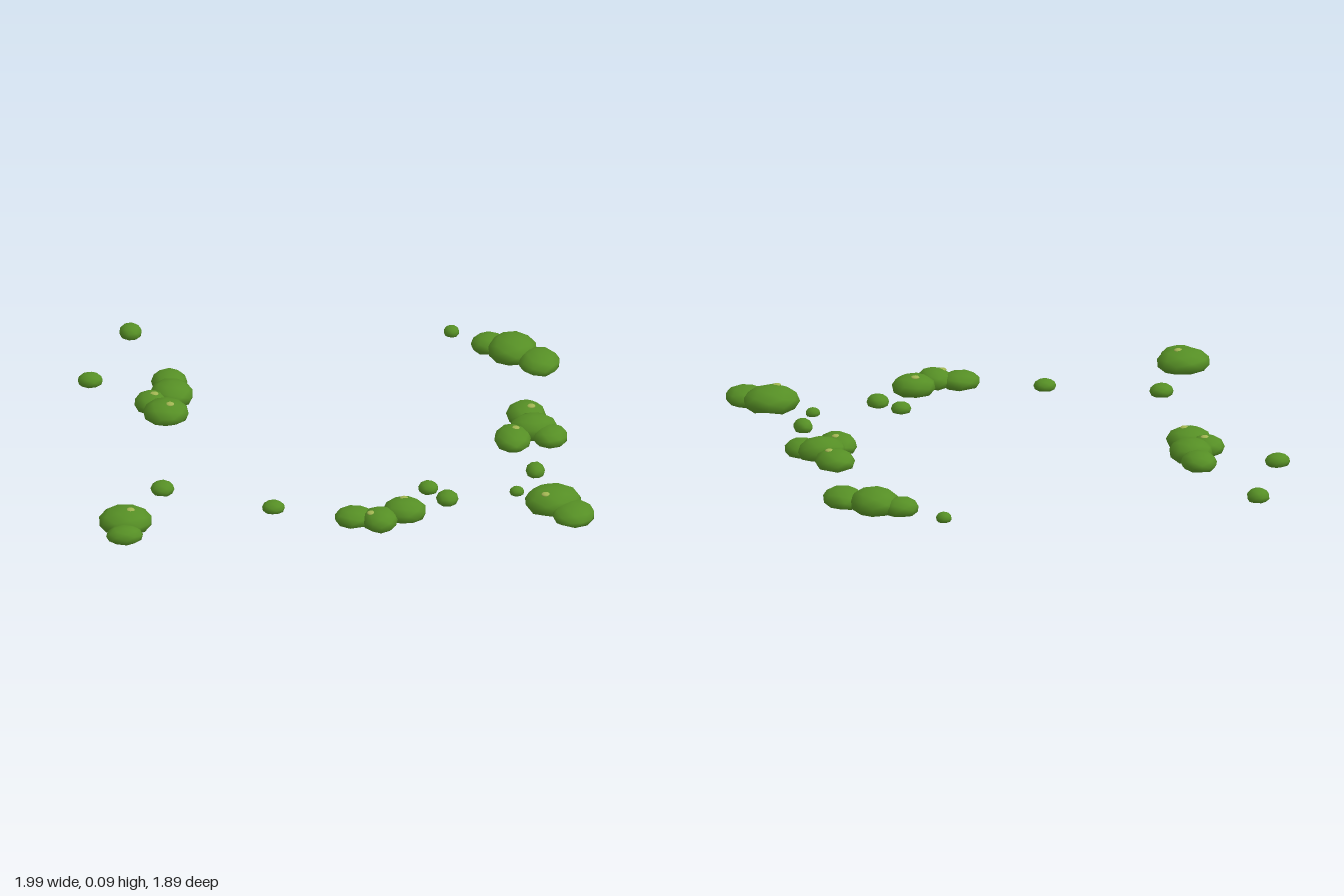
import * as THREE from 'three';
import { mergeVertices } from 'three/addons/utils/BufferGeometryUtils.js';

// Squashed low-poly dome with its underside flattened onto the ground
function moundGeometry(rx, h, rz, seed) {
  const base = new THREE.IcosahedronGeometry(1, 1);
  base.deleteAttribute('normal');
  base.deleteAttribute('uv');
  const geo = mergeVertices(base, 1e-4);
  geo.rotateY(seed * 1.7);
  geo.rotateX(0.25 * Math.sin(seed * 2.3));
  geo.computeBoundingBox();
  const b = geo.boundingBox;
  const p = geo.attributes.position;
  const cy = h * 0.36;
  for (let i = 0; i < p.count; i++) {
    const y = cy + (p.getY(i) / b.max.y) * (h - cy);
    p.setXYZ(i, (p.getX(i) / b.max.x) * rx, Math.max(0, y), (p.getZ(i) / b.max.z) * rz);
  }
  geo.computeVertexNormals();
  return geo;
}

export function createModel() {
  const model = new THREE.Group();
  const leaf = new THREE.MeshStandardMaterial({ color: 0x568f25 });
  leaf.name = 'leafGreen';
  const tip = new THREE.MeshStandardMaterial({ color: 0xa2b552 });
  tip.name = 'paleTip';

  // Each mound: x, z, radius x, radius z, height, optional tip x, tip z
  const clumps = {
    backRightSprig: [[-0.74, -0.9, 0.046, 0.05, 0.053]],
    rightSprig: [[-0.935, -0.49, 0.05, 0.044, 0.05]],
    backLeftSprig: [[0.55, -0.81, 0.03, 0.033, 0.04]],
    backLeftBush: [
      [0.69, -0.67, 0.073, 0.065, 0.07],
      [0.78, -0.6, 0.096, 0.108, 0.092],
      [0.88, -0.495, 0.083, 0.1, 0.07],
    ],
    rightBush: [
      [-0.62, -0.44, 0.073, 0.082, 0.07],
      [-0.62, -0.32, 0.085, 0.095, 0.085],
      [-0.705, -0.26, 0.07, 0.078, 0.07, -0.695, -0.26],
      [-0.655, -0.165, 0.09, 0.087, 0.08, -0.64, -0.148],
    ],
    leftBush: [
      [0.79, -0.04, 0.08, 0.09, 0.075, 0.81, -0.027],
      [0.81, 0.09, 0.1, 0.08, 0.088],
      [0.72, 0.168, 0.075, 0.098, 0.07, 0.732, 0.152],
      [0.873, 0.155, 0.07, 0.08, 0.065],
    ],
    frontRightSprig: [[-0.72, 0.48, 0.048, 0.046, 0.05]],
    frontRightBush: [
      [-0.893, 0.773, 0.105, 0.098, 0.085, -0.873, 0.777],
      [-0.905, 0.885, 0.075, 0.057, 0.06],
    ],
    frontSprig: [[-0.287, 0.677, 0.045, 0.042, 0.045]],
    frontBush: [
      [0.03, 0.803, 0.077, 0.074, 0.065],
      [0.13, 0.84, 0.073, 0.083, 0.073, 0.095, 0.847],
      [0.235, 0.772, 0.085, 0.08, 0.08, 0.235, 0.75],
    ],
    innerSprigs: [
      [0.348, 0.555, 0.04, 0.04, 0.045],
      [0.417, 0.656, 0.045, 0.05, 0.05],
    ],
    leftSprigs: [
      [0.79, 0.44, 0.039, 0.048, 0.05],
      [0.702, 0.608, 0.03, 0.026, 0.035],
    ],
    frontLeftBush: [
      [0.838, 0.742, 0.114, 0.105, 0.095, 0.805, 0.78],
      [0.912, 0.842, 0.083, 0.1, 0.066],
    ],
  };

  let seed = 0;
  for (const [name, mounds] of Object.entries(clumps)) {
    const clump = new THREE.Group();
    clump.name = name;
    for (const [x, z, rx, rz, h, tx, tz] of mounds) {
      const mound = new THREE.Mesh(moundGeometry(rx, h, rz, ++seed), leaf);
      mound.name = 'leafMound';
      mound.position.set(x, 0, z);
      clump.add(mound);

      // Pale shoot poking through the crown
      if (tx !== undefined) {
        const d2 = ((tx - x) / rx) ** 2 + ((tz - z) / rz) ** 2;
        const shoot = new THREE.Mesh(new THREE.IcosahedronGeometry(0.018, 1), tip);
        shoot.name = 'paleShoot';
        shoot.scale.y = 0.4;
        shoot.position.set(tx, h * (0.36 + 0.64 * Math.sqrt(1 - d2)) - 0.004, tz);
        clump.add(shoot);
      }
    }
    model.add(clump);
  }
  return model;
}
